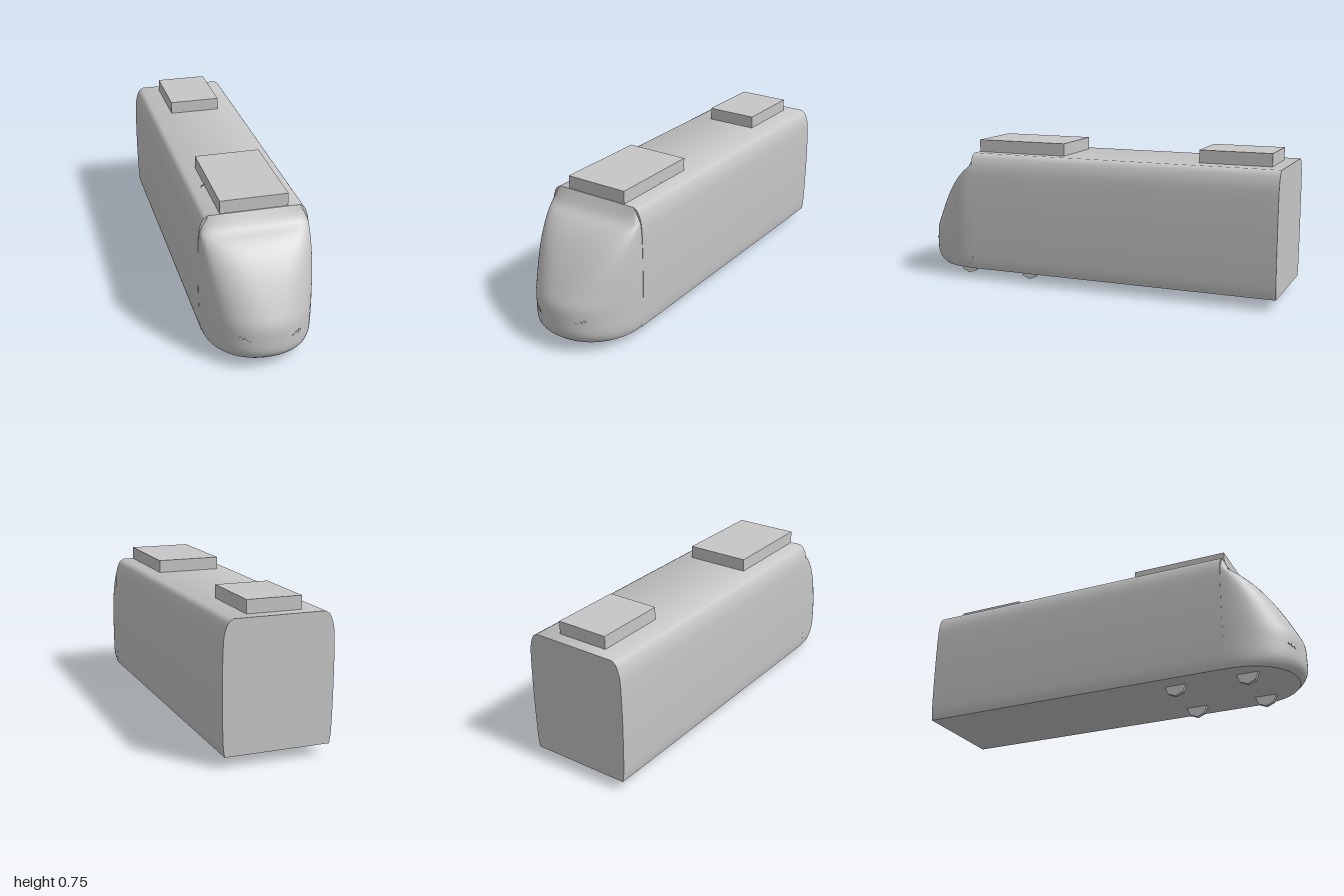
import * as THREE from 'three';
import { toCreasedNormals } from 'three/addons/utils/BufferGeometryUtils.js';

const grey = new THREE.MeshStandardMaterial({ color: 0xc6c6c6 });
grey.name = 'bodyGrey';

const NOSE_Z = 0.667;
const V = (x, y, z) => new THREE.Vector3(x, y, z);

// nose rows: half-width, height, foremost z
const noseCurve = new THREE.CatmullRomCurve3([
  V(0.258, 0.055, 0.958), V(0.264, 0.075, 0.98), V(0.268, 0.105, 0.997), V(0.27, 0.17, 1),
  V(0.271, 0.24, 0.995), V(0.272, 0.3, 0.968), V(0.272, 0.38, 0.925), V(0.271, 0.46, 0.875),
  V(0.269, 0.53, 0.82), V(0.266, 0.58, 0.765), V(0.26, 0.615, 0.71), V(0.222, 0.685, 0.668),
], false, 'centripetal');

// point on a nose row; t runs from the left side (0) round to the right (1)
function nosePoint(row, t) {
  const k = THREE.MathUtils.lerp(2.15, 3, THREE.MathUtils.smoothstep(row.y, 0.2, 0.6));
  const c = Math.cos(t * Math.PI), s = Math.max(0, Math.sin(t * Math.PI));
  return [
    row.x * Math.sign(c) * Math.abs(c) ** (2 / k),
    row.y,
    NOSE_Z + (row.z - NOSE_Z) * s ** (2 / k),
  ];
}

function noseGeometry() {
  const rows = noseCurve.getPoints(33), n = 40, pos = [], idx = [];
  rows.forEach((row) => {
    for (let j = 0; j <= n; j++) pos.push(...nosePoint(row, j / n));
  });
  for (let i = 0; i < rows.length - 1; i++) {
    for (let j = 0; j < n; j++) {
      const a = i * (n + 1) + j, b = a + 1, c = a + n + 1, d = c + 1;
      idx.push(a, c, b, b, c, d);
    }
  }
  // flat underside
  const centre = pos.length / 3;
  pos.push(0, rows[0].y, NOSE_Z);
  for (let j = 0; j < n; j++) idx.push(centre, j, j + 1);
  const g = new THREE.BufferGeometry();
  g.setAttribute('position', new THREE.Float32BufferAttribute(pos, 3));
  g.setIndex(idx);
  return toCreasedNormals(g, 0.6);
}

// carriage cross-section, mirrored about x = 0
function bodyGeometry() {
  const side = new THREE.SplineCurve([
    [0.26, 0.055], [0.267, 0.1], [0.271, 0.2], [0.273, 0.32], [0.273, 0.45],
    [0.27, 0.57], [0.263, 0.625], [0.246, 0.668], [0.222, 0.685],
  ].map(([x, y]) => new THREE.Vector2(x, y))).getPoints(28);
  const mirror = side.map((p) => new THREE.Vector2(-p.x, p.y)).reverse();
  const g = new THREE.ExtrudeGeometry(new THREE.Shape([...side, ...mirror]), {
    depth: NOSE_Z + 1, bevelEnabled: false,
  });
  g.translate(0, 0, -1);
  return toCreasedNormals(g, 0.6);
}

// low cowl lofted from arched sections, mostly hidden by the front roof box
function cowlGeometry() {
  const sections = [[0.64, 0.14, 0.004], [0.58, 0.172, 0.014], [0.5, 0.187, 0.026],
    [0.42, 0.192, 0.03], [0.38, 0.19, 0.028], [0.355, 0.168, 0.002]];
  const n = 16, pos = [], idx = [];
  sections.forEach(([z, w, h]) => {
    for (let j = 0; j <= n; j++) {
      const a = (j / n) * Math.PI;
      pos.push(w * Math.cos(a), 0.683 + h * Math.sin(a) ** 0.6, z);
    }
  });
  for (let i = 0; i < sections.length - 1; i++) {
    for (let j = 0; j < n; j++) {
      const a = i * (n + 1) + j, b = a + 1, c = a + n + 1, d = c + 1;
      idx.push(a, b, c, b, d, c);
    }
  }
  const g = new THREE.BufferGeometry();
  g.setAttribute('position', new THREE.Float32BufferAttribute(pos, 3));
  g.setIndex(idx);
  return toCreasedNormals(g, 0.6);
}

export function createModel() {
  const model = new THREE.Group();
  model.name = 'railcar';
  const add = (name, geometry, x = 0, y = 0, z = 0) => {
    const mesh = new THREE.Mesh(geometry, grey);
    mesh.name = name;
    mesh.position.set(x, y, z);
    model.add(mesh);
    return mesh;
  };

  add('carriageBody', bodyGeometry());
  add('nose', noseGeometry());
  add('roofCowl', cowlGeometry());

  // roof equipment
  add('frontRoofBox', new THREE.BoxGeometry(0.332, 0.07, 0.5), 0, 0.715, 0.412);
  add('rearRoofBox', new THREE.BoxGeometry(0.27, 0.07, 0.37), 0, 0.715, -0.75);

  // faceted wheels, half sunk into the floor
  const wheel = toCreasedNormals(new THREE.CylinderGeometry(0.055, 0.055, 0.021, 8), 0.3);
  wheel.rotateZ(Math.PI / 2);
  // small hexagonal lamps
  const lamp = toCreasedNormals(new THREE.CylinderGeometry(1, 1, 0.008, 6), 0.3);
  lamp.rotateX(Math.PI / 2).rotateZ(Math.PI / 6);

  for (const s of [1, -1]) {
    const label = s > 0 ? 'left' : 'right';
    add(label + 'FrontWheel', wheel, s * 0.156, 0.055, 0.747);
    add(label + 'RearWheel', wheel, s * 0.156, 0.055, 0.375);
    for (const [x, y, r] of [[0.108, 0.172, 0.008], [0.126, 0.179, 0.01], [0.142, 0.185, 0.008]]) {
      const z = NOSE_Z + 0.333 * (1 - (x / 0.27) ** 2.15) ** (1 / 2.15);
      const mesh = add(label + 'Lamp', lamp, s * x, y, z - 0.002);
      mesh.scale.set(r, r, 1);
      mesh.rotation.y = s * 0.4;
    }
  }
  return model;
}
